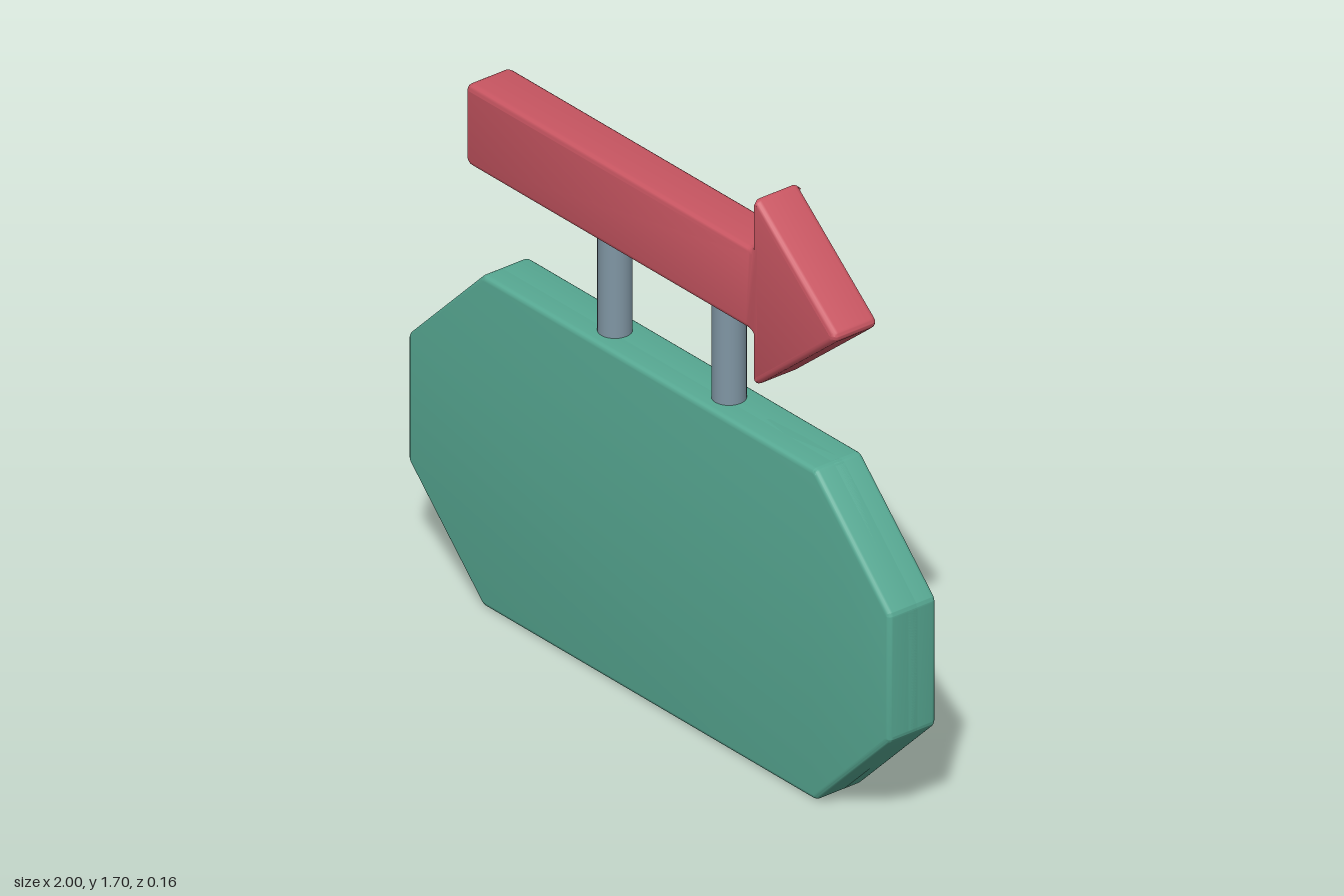
import * as THREE from 'three';
import { toCreasedNormals } from 'three/addons/utils/BufferGeometryUtils.js';

const paint = (name, color) => {
  const m = new THREE.MeshStandardMaterial({ color });
  m.name = name;
  return m;
};

// Closed outline with rounded corners
function roundedPath(points, r, PathType = THREE.Shape) {
  const path = new PathType();
  const v = points.map(([x, y]) => new THREE.Vector2(x, y));
  v.forEach((p, i) => {
    const prev = v[(i + v.length - 1) % v.length], next = v[(i + 1) % v.length];
    const a = p.clone().add(prev.clone().sub(p).setLength(r));
    const b = p.clone().add(next.clone().sub(p).setLength(r));
    if (i === 0) path.moveTo(a.x, a.y); else path.lineTo(a.x, a.y);
    path.quadraticCurveTo(p.x, p.y, b.x, b.y);
  });
  path.closePath();
  return path;
}

// Octagon centred on the board, shrunk evenly by an inset
function octagon(inset) {
  const cy = 0.4975, t = inset * Math.tan(Math.PI / 8);
  const w = 1 - inset, h = 0.4975 - inset, cx = 0.69 - t, ch = 0.19 - t;
  return [[w, ch], [cx, h], [-cx, h], [-w, ch], [-w, -ch], [-cx, -h], [cx, -h], [w, -ch]]
    .map(([x, y]) => [x, y + cy]);
}

// Solid between two z values, with softly rounded rims
function slab(shape, z0, z1, bevel) {
  const g = new THREE.ExtrudeGeometry(shape, {
    depth: z1 - z0 - 2 * bevel, bevelEnabled: bevel > 0, bevelThickness: bevel,
    bevelSize: bevel, bevelOffset: -bevel, bevelSegments: 4, curveSegments: 12,
  });
  g.translate(0, 0, z0 + bevel);
  return toCreasedNormals(g, 0.6);
}

export function createModel() {
  const green = paint('boardGreen', 0x57a993);
  const red = paint('arrowRed', 0xc95662);
  const steel = paint('postSteel', 0x8096a4);
  const sand = paint('panelSand', 0xb8b192);
  const navy = paint('carNavy', 0x475480);

  const group = new THREE.Group();
  group.name = 'carSign';
  const add = (name, geometry, material, parent = group) => {
    const mesh = new THREE.Mesh(geometry, material);
    mesh.name = name;
    parent.add(mesh);
    return mesh;
  };

  // Board: solid front and a raised frame around the recessed back
  add('boardFront', slab(roundedPath(octagon(0), 0.012), -0.03, 0.081, 0.015), green);
  const frame = roundedPath(octagon(0), 0.012);
  frame.holes.push(roundedPath(octagon(0.12), 0.012, THREE.Path));
  add('boardFrame', slab(frame, -0.081, 0.03, 0.015), green);
  add('picturePanel', slab(roundedPath(octagon(0.115), 0.01), -0.04, -0.02, 0), sand);

  // Posts
  for (const side of [-1, 1]) {
    const post = add(side < 0 ? 'rightPost' : 'leftPost',
      new THREE.CylinderGeometry(0.047, 0.047, 0.36, 28), steel);
    post.position.set(side * 0.237, 1.15, 0);
  }

  // Arrow pointing to +x
  const arrow = [[-0.77, 1.295], [0.425, 1.295], [0.425, 1.13], [0.775, 1.418],
    [0.425, 1.706], [0.425, 1.54], [-0.77, 1.54]];
  add('arrow', slab(roundedPath(arrow, 0.028), -0.075, 0.075, 0.018), red);

  // Painted car on the back panel
  const car = new THREE.Group();
  car.name = 'paintedCar';
  group.add(car);
  const plate = (name, shape) => add(name, slab(shape, -0.044, -0.038, 0), navy, car);
  const wheels = [[0.3, 0.318], [-0.172, 0.318]];
  const bottom = 0.305, archR = 0.122;
  const start = Math.asin((bottom - 0.318) / archR);

  // Body outline, from the tail over the roof to the nose
  const body = new THREE.Shape();
  body.moveTo(0.535, bottom);
  body.splineThru([[0.556, 0.39], [0.54, 0.47], [0.5, 0.53], [0.41, 0.58], [0.306, 0.59]]
    .map(p => new THREE.Vector2(...p)));
  body.splineThru([[0.273, 0.663], [0.185, 0.735], [0.05, 0.776], [-0.084, 0.757],
    [-0.192, 0.677], [-0.253, 0.587]].map(p => new THREE.Vector2(...p)));
  body.splineThru([[-0.34, 0.55], [-0.39, 0.465], [-0.407, 0.37], [-0.403, 0.32], [-0.375, bottom]]
    .map(p => new THREE.Vector2(...p)));
  for (const [x, y] of [...wheels].reverse()) {
    body.absarc(x, y, archR, start, Math.PI - start, false);
  }
  body.closePath();

  // Window openings
  const rear = new THREE.Path();
  rear.moveTo(0.042, 0.555);
  rear.lineTo(0.236, 0.555);
  rear.bezierCurveTo(0.215, 0.65, 0.15, 0.7, 0.042, 0.71);
  rear.closePath();
  const front = new THREE.Path();
  front.moveTo(0, 0.555);
  front.lineTo(0, 0.71);
  front.bezierCurveTo(-0.1, 0.71, -0.17, 0.66, -0.205, 0.555);
  front.closePath();
  body.holes.push(rear, front);
  plate('carBody', body);

  // Wheels and the block in front of the nose
  wheels.forEach(([x, y], i) =>
    plate(i ? 'frontWheel' : 'rearWheel', new THREE.Shape().absarc(x, y, 0.096, 0, Math.PI * 2)));
  plate('kerbBlock', roundedPath(
    [[-0.425, 0.363], [-0.567, 0.36], [-0.592, 0.25], [-0.398, 0.26]], 0.02));

  return group;
}
